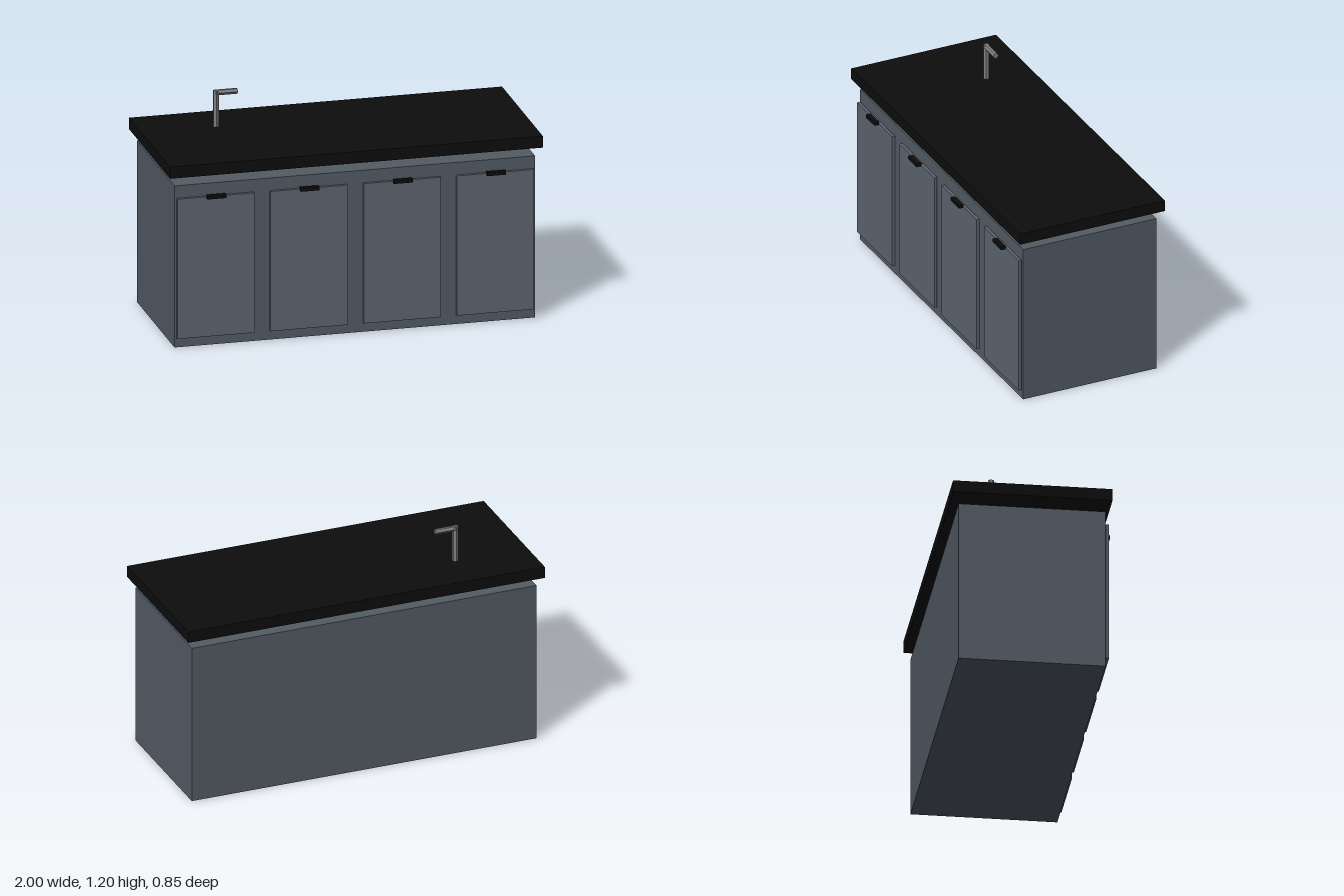
import * as THREE from 'three';

const material = (color) => new THREE.MeshStandardMaterial({ color, flatShading: true });

export function createModel() {
  const model = new THREE.Group();
  model.name = 'sinkCabinet';

  const black = material(0x0d0d0d);
  const cabinetGrey = material(0x535b64);
  const doorGrey = material(0x5d6470);
  const metal = material(0x808080);

  // Adds a box given its [min, max] range on each axis
  function addBox(name, mat, [x0, x1], [y0, y1], [z0, z1], parent = model) {
    const mesh = new THREE.Mesh(new THREE.BoxGeometry(x1 - x0, y1 - y0, z1 - z0), mat);
    mesh.position.set((x0 + x1) / 2, (y0 + y1) / 2, (z0 + z1) / 2);
    mesh.name = name;
    parent.add(mesh);
  }

  // Cabinet body and the worktop floating just above it
  addBox('cabinetBody', cabinetGrey, [-0.967, 0.967], [0, 0.884], [-0.389, 0.379]);
  addBox('worktop', black, [-1, 1], [0.937, 1], [-0.422, 0.413]);

  // Four doors, each with a handle at its top edge
  for (const x of [-0.75, -0.25, 0.25, 0.75]) {
    const door = new THREE.Group();
    door.name = 'door';
    addBox('doorPanel', doorGrey, [x - 0.207, x + 0.207], [0.052, 0.817], [0.383, 0.4], door);
    addBox('doorHandle', black, [x - 0.05, x + 0.05], [0.81, 0.829], [0.398, 0.425], door);
    model.add(door);
  }

  // Six-sided tap: an upright and a spout pointing to +x
  const tap = new THREE.Group();
  tap.name = 'tap';
  tap.position.set(-0.6, 1, -0.172);
  const upright = new THREE.Mesh(new THREE.CylinderGeometry(0.0165, 0.0165, 0.197, 6), metal);
  upright.name = 'tapUpright';
  upright.position.y = 0.0985;
  const spout = new THREE.Mesh(new THREE.CylinderGeometry(0.0155, 0.0155, 0.12, 6), metal);
  spout.name = 'tapSpout';
  spout.rotation.z = Math.PI / 2;
  spout.position.set(0.054, 0.185, 0);
  tap.add(upright, spout);
  model.add(tap);

  return model;
}
